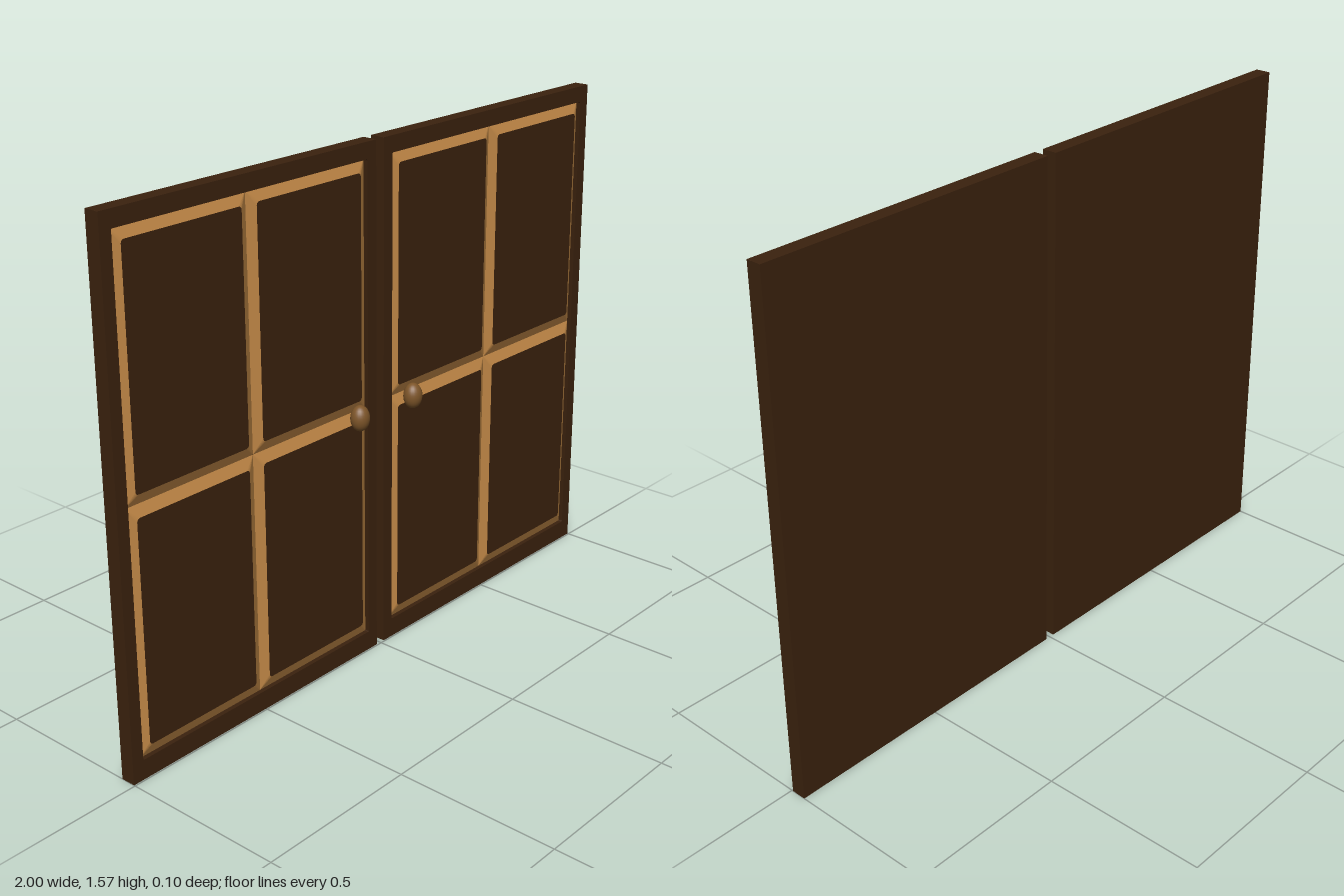
import * as THREE from 'three';

const material = (name, color, side = THREE.FrontSide) => {
  const m = new THREE.MeshStandardMaterial({ color, side });
  m.name = name;
  return m;
};

const BACK = -0.05, FRONT = -0.004, FLOOR = -0.019;   // door depths
const HEIGHT = 1.565;

// Counter-clockwise outline of a rectangle with rounded corners
function roundedRect([x0, x1, y0, y1], r, steps = 4) {
  const corners = [[x1 - r, y1 - r], [x0 + r, y1 - r], [x0 + r, y0 + r], [x1 - r, y0 + r]];
  const points = [];
  corners.forEach(([cx, cy], i) => {
    for (let k = 0; k <= steps; k++) {
      const a = (i + k / steps) * Math.PI / 2;
      points.push(new THREE.Vector2(cx + r * Math.cos(a), cy + r * Math.sin(a)));
    }
  });
  return points;
}

// Sloping band between an outer and an inner outline
function bevelGeometry(outer, inner, zOuter, zInner) {
  const pos = [], n = outer.length;
  for (let i = 0; i < n; i++) {
    const j = (i + 1) % n;
    const a = [outer[i].x, outer[i].y, zOuter], b = [outer[j].x, outer[j].y, zOuter];
    const c = [inner[j].x, inner[j].y, zInner], d = [inner[i].x, inner[i].y, zInner];
    pos.push(...a, ...b, ...c, ...a, ...c, ...d);
  }
  const g = new THREE.BufferGeometry();
  g.setAttribute('position', new THREE.Float32BufferAttribute(pos, 3));
  g.computeVertexNormals();
  return g;
}

export function createModel() {
  const darkWood = material('dark wood', 0x3b220e);
  const lightWood = material('light wood', 0xbf8645, THREE.DoubleSide);
  const knobWood = material('knob wood', 0x7d5529);
  const model = new THREE.Group();
  model.name = 'doublePanelDoors';

  const add = (parent, name, geometry, mat) => {
    const mesh = new THREE.Mesh(geometry, mat);
    mesh.name = name;
    parent.add(mesh);
    return mesh;
  };

  // Spans given from the outer edge of the cell to its raised panel face
  const columns = [{ cell: [0.053, 0.508], face: [0.08, 0.481] },
                   { cell: [0.508, 0.963], face: [0.535, 0.936] }];
  const rows = [{ cell: [0.06, 0.789], face: [0.094, 0.757] },
                { cell: [0.789, 1.516], face: [0.821, 1.484] }];
  const span = ([a, b], side) => side > 0 ? [a, b] : [-b, -a];

  for (const side of [-1, 1]) {
    const door = new THREE.Group();
    door.name = side > 0 ? 'leftDoor' : 'rightDoor';
    model.add(door);
    const [x0, x1] = span([0.016, 1], side);

    // Back board
    add(door, 'backBoard', new THREE.BoxGeometry(x1 - x0, HEIGHT, FLOOR - BACK), darkWood)
      .position.set((x0 + x1) / 2, HEIGHT / 2, (FLOOR + BACK) / 2);

    // Front frame around the recess
    const shape = new THREE.Shape(roundedRect([x0, x1, 0, HEIGHT], 0.0005, 1));
    const recess = [...span([0.053, 0.963], side), 0.06, 1.516];
    shape.holes.push(new THREE.Path(roundedRect(recess, 0.004)));
    add(door, 'frame', new THREE.ExtrudeGeometry(shape, { depth: FRONT - FLOOR, bevelEnabled: false }), darkWood)
      .position.z = FLOOR;

    // Raised panels with light sloping borders
    for (const col of columns) for (const row of rows) {
      const outer = roundedRect([...span(col.cell, side), ...row.cell], 0.001);
      const inner = roundedRect([...span(col.face, side), ...row.face], 0.01);
      add(door, 'panelBevel', bevelGeometry(outer, inner, FLOOR + 0.001, FRONT), lightWood);
      add(door, 'panelFace', new THREE.ShapeGeometry(new THREE.Shape(inner)), darkWood)
        .position.z = FRONT;
    }

    // Oval knob
    const knob = add(door, 'knob', new THREE.SphereGeometry(1, 24, 16), knobWood);
    knob.scale.set(0.029, 0.039, 0.028);
    knob.position.set(side * 0.117, 0.785, 0.022);
  }
  return model;
}
